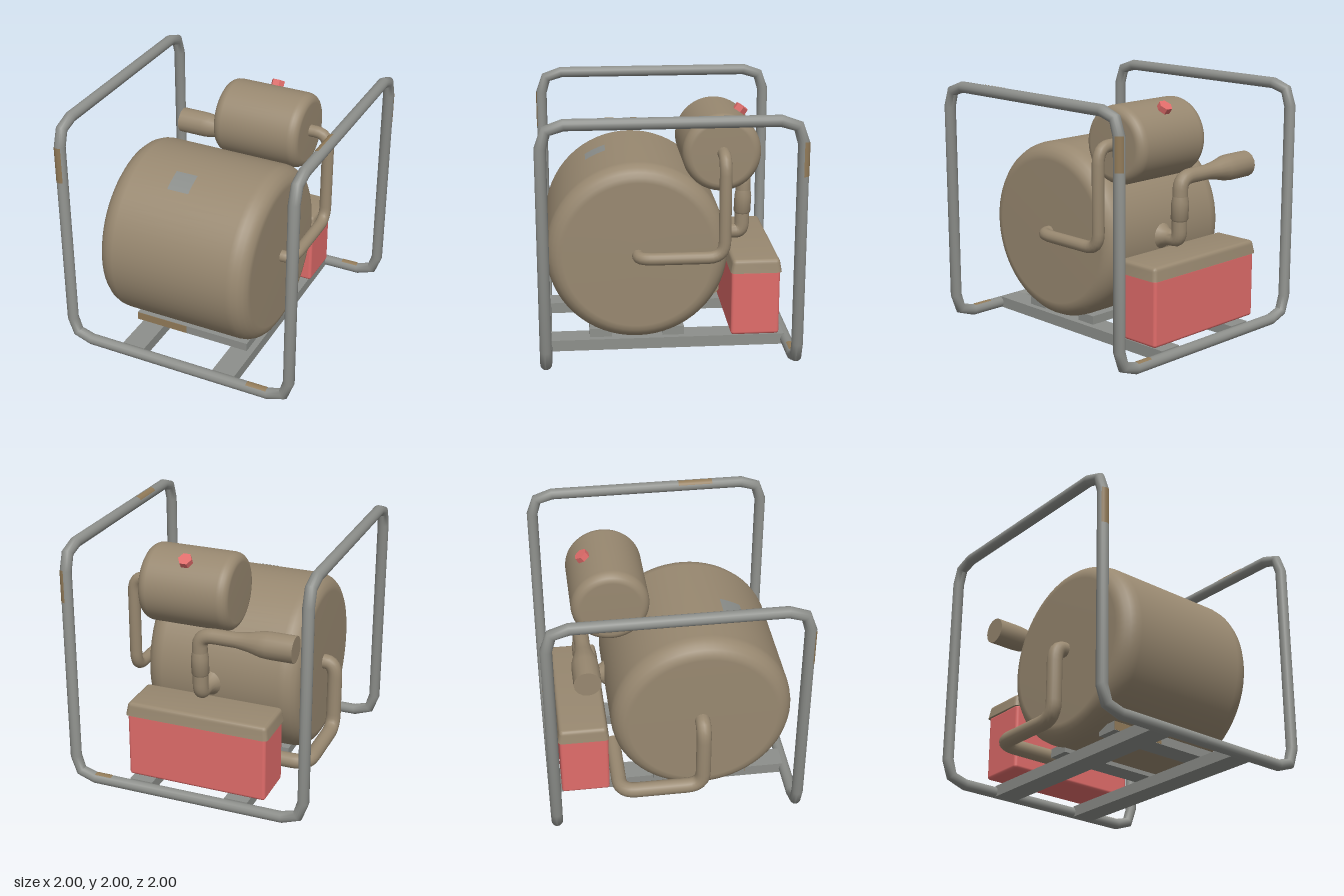
import * as THREE from 'three';
import { toCreasedNormals } from 'three/addons/utils/BufferGeometryUtils.js';
import { RoundedBoxGeometry } from 'three/addons/geometries/RoundedBoxGeometry.js';

const material = (name, color) => {
  const m = new THREE.MeshStandardMaterial({ color });
  m.name = name;
  return m;
};
const V = (x, y, z) => new THREE.Vector3(x, y, z);

// Path through corner points, each corner cut by a curve that starts `radius` before it
function bentPath(corners, radius, steps) {
  const pts = [corners[0]];
  for (let i = 1; i < corners.length - 1; i++) {
    const c = corners[i];
    const toward = (p) => c.clone().add(p.clone().sub(c).setLength(Math.min(radius, c.distanceTo(p) * 0.5)));
    pts.push(...new THREE.QuadraticBezierCurve3(toward(corners[i - 1]), c, toward(corners[i + 1])).getPoints(steps));
  }
  pts.push(corners[corners.length - 1]);
  return pts;
}

// Capped round tube along a path; radiusAt gives the radius at each point
function sweep(pts, radiusAt, sides = 16) {
  const pos = [], index = [], last = pts.length - 1;
  let n = null;
  pts.forEach((p, i) => {
    const dir = (a, b) => pts[b].clone().sub(pts[a]).normalize();
    const t = i === 0 ? dir(0, 1) : i === last ? dir(last - 1, last) : dir(i - 1, i).add(dir(i, i + 1)).normalize();
    n = n || (Math.abs(t.y) < 0.9 ? V(0, 1, 0) : V(1, 0, 0));
    n = n.clone().addScaledVector(t, -n.dot(t)).normalize();
    const b = t.clone().cross(n), r = radiusAt(i);
    for (let j = 0; j < sides; j++) {
      const a = (j / sides) * Math.PI * 2;
      const q = p.clone().addScaledVector(n, Math.cos(a) * r).addScaledVector(b, Math.sin(a) * r);
      pos.push(q.x, q.y, q.z);
    }
  });
  const start = pos.length / 3;
  pos.push(...pts[0].toArray(), ...pts[last].toArray());
  for (let j = 0; j < sides; j++) {
    const k = (j + 1) % sides;
    for (let i = 0; i < last; i++) {
      const a = i * sides, d = a + sides;
      index.push(a + j, a + k, d + j, a + k, d + k, d + j);
    }
    index.push(start, k, j, start + 1, last * sides + j, last * sides + k);
  }
  const g = new THREE.BufferGeometry();
  g.setAttribute('position', new THREE.Float32BufferAttribute(pos, 3));
  g.setIndex(index);
  return toCreasedNormals(g, 0.9);
}

// Drum lying along x with rounded rims
function drumGeometry(radius, length, rimAxial, rimRadial) {
  const h = length / 2, pts = [new THREE.Vector2(0, -h)], steps = 5;
  for (const side of [-1, 1]) {
    for (let i = 0; i <= steps; i++) {
      const a = ((side < 0 ? i : steps - i) / steps) * Math.PI / 2;
      pts.push(new THREE.Vector2(radius - rimRadial * (1 - Math.sin(a)), side * (h - rimAxial * (1 - Math.cos(a)))));
    }
  }
  pts.push(new THREE.Vector2(0, h));
  return new THREE.LatheGeometry(pts, 64).rotateZ(-Math.PI / 2);
}

export function createModel() {
  const tan = material('tan paint', 0x988870);
  const grey = material('grey steel', 0x8d8f8b);
  const red = material('red paint', 0xe06c6a);
  const rust = material('rust', 0x917a58);
  const scuff = material('bare metal scuff', 0x8a8d8a);
  const model = new THREE.Group();
  model.name = 'tankUnit';

  const add = (name, geometry, mat, x = 0, y = 0, z = 0) => {
    const m = new THREE.Mesh(geometry, mat);
    m.name = name;
    m.position.set(x, y, z);
    model.add(m);
    return m;
  };
  const box = (name, mat, x0, x1, y0, y1, z0, z1) =>
    add(name, new THREE.BoxGeometry(x1 - x0, y1 - y0, z1 - z0), mat, (x0 + x1) / 2, (y0 + y1) / 2, (z0 + z1) / 2);

  // Roll cage: one continuous bent tube
  const e = 0.955, lo = 0.045, hi = 1.955;
  const cage = [V(0, lo, e), V(e, lo, e), V(e, hi, e), V(e, hi, -e), V(e, lo, -e),
    V(-e, lo, -e), V(-e, hi, -e), V(-e, hi, e), V(-e, lo, e), V(0, lo, e)];
  add('cageTube', sweep(bentPath(cage, 0.17, 2), () => 0.045), grey);

  // Base rails and the cradle bars under the drum
  box('baseRailRight', grey, -0.5, -0.31, 0.005, 0.095, -0.94, 0.94);
  box('baseRailLeft', grey, 0.3, 0.49, 0.005, 0.095, -0.94, 0.94);
  box('cradleBarFront', grey, -0.55, 0.44, 0.095, 0.165, 0.435, 0.61);
  box('cradleBarBack', grey, -0.55, 0.44, 0.095, 0.165, -0.14, 0.03);
  box('cradleRust', rust, -0.55, -0.1, 0.097, 0.163, 0.609, 0.613);

  // Main drum and upper tank
  const drumY = 0.8125, drumZ = 0.23;
  add('mainDrum', drumGeometry(0.7125, 1.275, 0.15, 0.13), tan, -0.0775, drumY, drumZ);
  add('upperTank', drumGeometry(0.305, 0.735, 0.08, 0.07), tan, 0.1325, 1.59, -0.425);

  // Hexagonal filler cap, tilted to the back of the upper tank
  const capGeometry = new THREE.CylinderGeometry(0.055, 0.055, 0.06, 6).rotateY(Math.PI / 6);
  const cap = add('fillerCap', toCreasedNormals(capGeometry, 0.5), red, 0.13, 1.855, -0.605);
  cap.rotation.x = -0.6;

  // Feed pipe joining drum and upper tank
  add('feedPipe', sweep(bentPath([V(0.5, 0.815, 0.23), V(0.655, 0.815, 0.23), V(0.655, 0.815, -0.43),
    V(0.655, 1.6, -0.43), V(0.44, 1.6, -0.43)], 0.13, 6), () => 0.048), tan);

  // Return pipe running low around the other side
  add('returnPipe', sweep(bentPath([V(-0.65, 0.82, 0.22), V(-0.81, 0.82, 0.22), V(-0.81, 0.24, 0.22),
    V(-0.81, 0.24, -0.44), V(-0.2, 0.24, -0.44)], 0.13, 6), () => 0.06), tan);

  // Exhaust: flared base, bent riser with sleeve, wide outlet
  const riser = bentPath([V(0, 0.81, -0.56), V(0, 0.81, -0.655), V(0, 0.97, -0.655)], 0.12, 6);
  const flare = [V(0, 0.81, -0.4), V(0, 0.81, -0.47), V(0, 0.81, -0.51)], flareR = [0.15, 0.105, 0.075];
  const elbow = bentPath([V(0, 1.12, -0.66), V(0, 1.305, -0.66), V(-0.3, 1.305, -0.66)], 0.12, 6);
  const outlet = [V(-0.4, 1.305, -0.66), V(-0.5, 1.305, -0.66), V(-0.56, 1.305, -0.66), V(-0.77, 1.305, -0.66)];
  const outletR = [0.075, 0.1, 0.105, 0.105];
  const exhaust = [...flare, ...riser, ...elbow, ...outlet], outletStart = exhaust.length - outlet.length;
  add('exhaustPipe', sweep(exhaust, (i) => flareR[i] ?? outletR[i - outletStart] ?? 0.06), tan);
  add('exhaustSleeve', sweep([V(0, 0.965, -0.655), V(0, 0.98, -0.655), V(0, 1.11, -0.66), V(0, 1.16, -0.66)],
    (i) => [0.06, 0.069, 0.069, 0.06][i]), tan);

  // Red case with a tapered, overhanging lid
  add('case', new RoundedBoxGeometry(1.14, 0.54, 0.385, 3, 0.025), red, -0.0525, 0.375, -0.7);
  const lid = new RoundedBoxGeometry(1.175, 0.105, 0.405, 3, 0.035), p = lid.attributes.position;
  for (let i = 0; i < p.count; i++) {
    if (p.getY(i) < 0) p.setY(i, -0.0525);
    else p.setXYZ(i, p.getX(i) * 0.98, p.getY(i), p.getZ(i) * 0.94);
  }
  add('caseLid', toCreasedNormals(lid, 0.6), tan, -0.0525, 0.6825, -0.7025);

  // Worn paint: thin curved plates wrapped on the drum and the cage
  const patch = (name, mat, axis, r, len, from, arc, x, y, z) => {
    const g = new THREE.CylinderGeometry(r, r, len, 10, 1, true, from, arc);
    if (axis === 'x') g.rotateZ(-Math.PI / 2);
    if (axis === 'z') g.rotateX(Math.PI / 2);
    add(name, g, mat, x, y, z);
  };
  const R = 0.0465, half = Math.PI / 2;
  patch('drumScuff', scuff, 'x', 0.7155, 0.18, -1.26, 0.25, -0.15, drumY, drumZ);
  patch('uprightRust', rust, 'y', R, 0.3, -0.9, 1.5, -e, 1.64, e);
  patch('uprightRust', rust, 'y', R, 0.26, half, half, e, 1.67, -e);
  patch('frontBarRust', rust, 'x', R, 0.17, -half - 0.5, 1.2, 0.69, lo, e);
  patch('backBarRust', rust, 'x', R, 0.14, -half - 0.6, 1.2, 0.71, lo, -e);
  patch('topBarRust', rust, 'z', R, 0.28, Math.PI, 1.1, e, hi, 0.4);

  return model;
}
